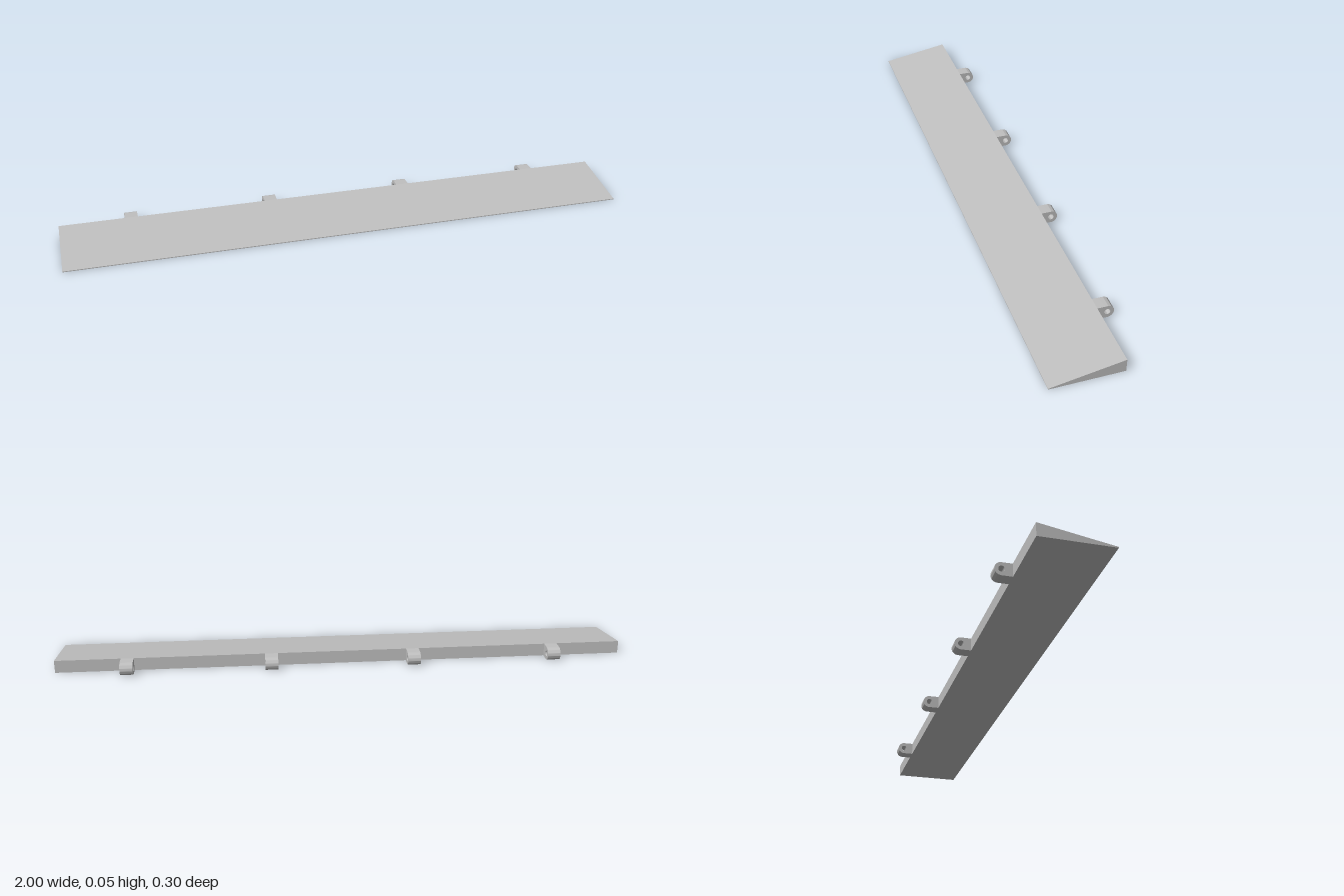
import * as THREE from 'three';
import { toCreasedNormals } from 'three/addons/utils/BufferGeometryUtils.js';

const HEIGHT = 0.045; // thickness at the hinge edge
const BACK = -0.093; // z of the hinge edge

// Extrude a (z, y) side profile along x, centred on x = 0
function extrudeAlongX(shape, width) {
  const geometry = new THREE.ExtrudeGeometry(shape, { depth: width, bevelEnabled: false, curveSegments: 24 });
  geometry.translate(0, 0, -width / 2);
  geometry.rotateY(-Math.PI / 2);
  return toCreasedNormals(geometry, Math.PI / 6);
}

export function createModel() {
  const group = new THREE.Group();
  group.name = 'hingedFlap';

  const grey = new THREE.MeshStandardMaterial({ color: 0xc0c0c0 });
  grey.name = 'light grey';

  // Tapered flap: thin front edge, full height at the back
  const wedge = new THREE.Shape([
    new THREE.Vector2(BACK, 0),
    new THREE.Vector2(0.15, 0),
    new THREE.Vector2(0.15, 0.003),
    new THREE.Vector2(BACK, HEIGHT),
  ]);
  const flap = new THREE.Mesh(extrudeAlongX(wedge, 2), grey);
  flap.name = 'flap';
  group.add(flap);

  // Rounded hinge lug with a pin hole
  const radius = HEIGHT / 2;
  const pinZ = -0.15 + radius;
  const lugShape = new THREE.Shape();
  lugShape.moveTo(BACK, 0);
  lugShape.lineTo(BACK, HEIGHT);
  lugShape.lineTo(pinZ, HEIGHT);
  lugShape.absarc(pinZ, radius, radius, Math.PI / 2, Math.PI * 1.5, false);
  lugShape.closePath();
  const pinHole = new THREE.Path();
  pinHole.absarc(pinZ, radius, 0.0105, 0, Math.PI * 2, true);
  lugShape.holes.push(pinHole);
  const lugGeometry = extrudeAlongX(lugShape, 0.045);

  // Four lugs spaced evenly along the hinge edge
  for (let i = 0; i < 4; i++) {
    const lug = new THREE.Mesh(lugGeometry, grey);
    lug.name = `hingeLug${i + 1}`;
    lug.position.x = -0.75 + i * 0.5;
    group.add(lug);
  }

  return group;
}
